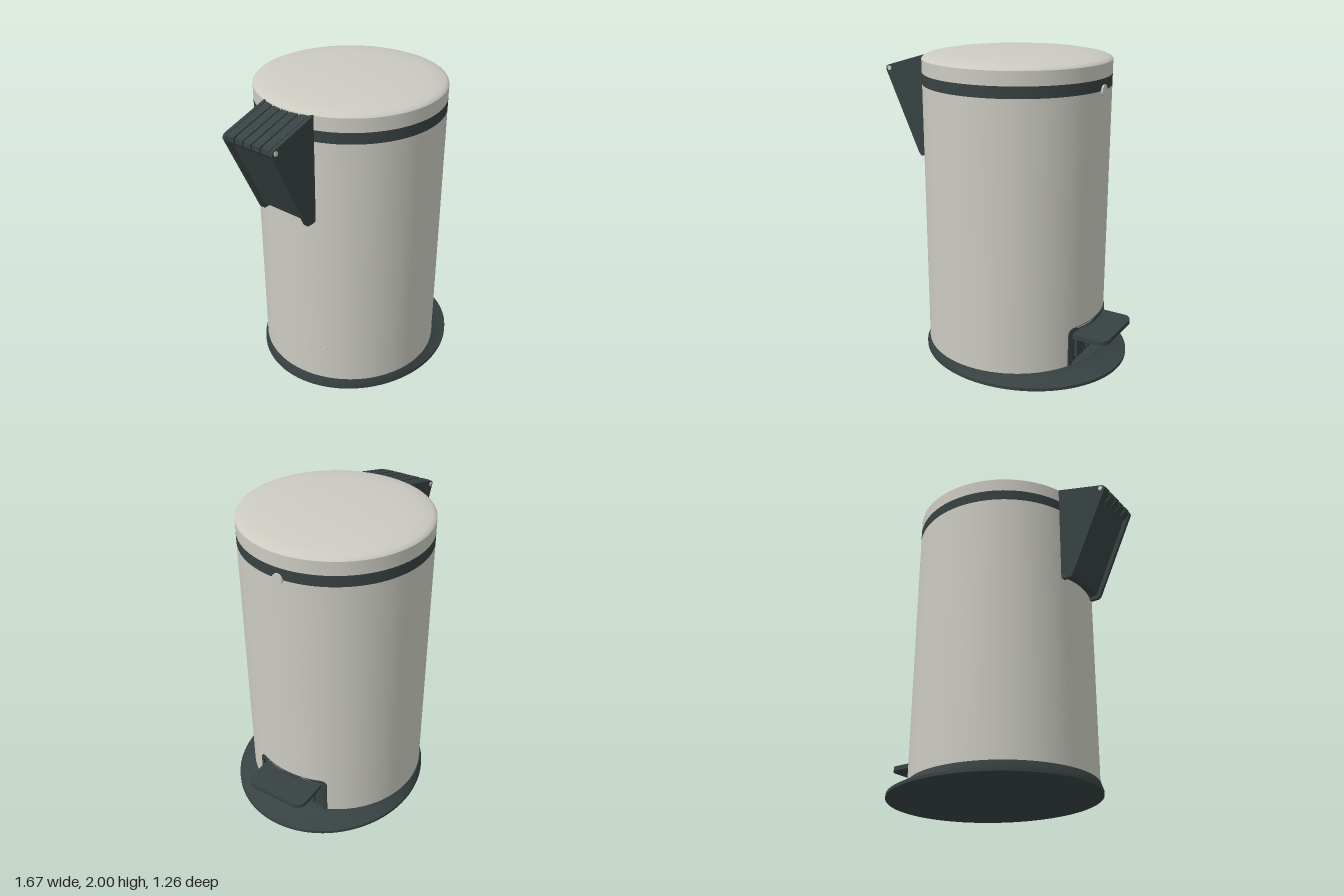
import * as THREE from 'three';
import { toCreasedNormals } from 'three/addons/utils/BufferGeometryUtils.js';

const CX = 0.065, R = 0.592; // axis and radius of the can
const steel = new THREE.MeshStandardMaterial({ color: 0xcbcbc2, side: THREE.DoubleSide });
const plastic = new THREE.MeshStandardMaterial({ color: 0x384242, side: THREE.DoubleSide });

export function createModel() {
  const model = new THREE.Group();
  const add = (name, geo, mat, x = 0, y = 0, z = 0) => {
    const mesh = new THREE.Mesh(geo, mat);
    mesh.name = name;
    mesh.position.set(x, y, z);
    model.add(mesh);
    return mesh;
  };
  const shapeOf = (pts) => new THREE.Shape(pts.map(([x, y]) => new THREE.Vector2(x, y)));
  const extrude = (shape, depth) =>
    new THREE.ExtrudeGeometry(shape, { depth, bevelEnabled: false, curveSegments: 8 });

  // Body: full tube above, tube with a gap for the pedal below
  const notchTop = 0.31, gap = Math.asin(0.245 / R);
  add('body', new THREE.CylinderGeometry(R, R, 1.79 - notchTop, 96, 1, true), steel, CX, (1.79 + notchTop) / 2);
  add('lowerBody', new THREE.CylinderGeometry(R, R, notchTop - 0.05, 80, 1, true,
    Math.PI / 2 + gap, Math.PI * 2 - 2 * gap), steel, CX, (notchTop + 0.05) / 2);

  // Dark band under the lid, and the round button on it
  add('band', new THREE.CylinderGeometry(R, R, 0.07, 96, 1, true), plastic, CX, 1.825);
  add('button', new THREE.CylinderGeometry(0.034, 0.034, 0.03, 24).rotateZ(Math.PI / 2), steel, 0.652, 1.79);

  // Domed lid
  const lidProfile = [[R, 1.86], [R, 1.945], [0.585, 1.954], [0.565, 1.963], [0.5, 1.975],
    [0.38, 1.988], [0.22, 1.996], [0, 2]].map(([r, y]) => new THREE.Vector2(r, y));
  add('lid', toCreasedNormals(new THREE.LatheGeometry(lidProfile, 96), 0.5), steel, CX);

  // Base: oval foot sloping up to the round body
  const rings = [ // y, centre x, radius x, radius z
    [0, 0.14, 0.692, 0.632], [0.02, 0.14, 0.692, 0.632],
    [0.05, 0.074, 0.612, 0.606], [0.066, CX, 0.598, 0.598]];
  const base = new THREE.CylinderGeometry(1, 1, 3, 96, 3);
  const bp = base.attributes.position;
  for (let i = 0; i < bp.count; i++) {
    const [y, cx, rx, rz] = rings[Math.round(bp.getY(i) + 1.5)];
    bp.setXYZ(i, cx + bp.getX(i) * rx, y, bp.getZ(i) * rz);
  }
  add('base', toCreasedNormals(base, 0.5), plastic);

  // Pedal recess: arch outline in z and y, with rounded top corners
  const arch = (w, top, r) => {
    const pts = [[w, 0.05]];
    for (let i = 0; i <= 6; i++) {
      const a = (i / 6) * Math.PI / 2;
      pts.push([w - r + r * Math.cos(a), top - r + r * Math.sin(a)]);
    }
    for (let i = 1; i < 16; i++) pts.push([(w - r) * (1 - i / 8), top]);
    for (let i = 6; i >= 0; i--) {
      const a = (i / 6) * Math.PI / 2;
      pts.push([-(w - r + r * Math.cos(a)), top - r + r * Math.sin(a)]);
    }
    pts.push([-w, 0.05]);
    return pts;
  };
  const outer = arch(0.26, 0.322, 0.04), inner = arch(0.235, 0.297, 0.025);
  add('recessPanel', extrude(shapeOf(outer), 0.012).rotateY(Math.PI / 2), plastic, 0.585);
  const frame = extrude(shapeOf([...outer, ...inner.reverse()]), 1).rotateY(Math.PI / 2);
  const fp = frame.attributes.position;
  for (let i = 0; i < fp.count; i++) { // front edge follows the round body
    const z = fp.getZ(i);
    fp.setX(i, fp.getX(i) > 0.5 ? CX + Math.sqrt((R + 0.006) ** 2 - z * z) : 0.585);
  }
  add('recessFrame', toCreasedNormals(frame, 0.5), plastic);
  for (const z of [-0.155, 0, 0.155])
    add('recessRib', new THREE.BoxGeometry(0.02, 0.22, 0.022), plastic, 0.605, 0.2, z);

  // Pedal plate
  const pedal = new THREE.Shape();
  pedal.moveTo(0.59, -0.215);
  pedal.lineTo(0.775, -0.215);
  pedal.quadraticCurveTo(0.805, -0.212, 0.818, -0.19);
  pedal.quadraticCurveTo(0.832, -0.175, 0.832, -0.15);
  pedal.lineTo(0.832, 0.15);
  pedal.quadraticCurveTo(0.832, 0.175, 0.818, 0.19);
  pedal.quadraticCurveTo(0.805, 0.212, 0.775, 0.215);
  pedal.lineTo(0.59, 0.215);
  add('pedal', extrude(pedal, 0.03).rotateX(-Math.PI / 2), plastic, 0, 0.24);

  // Hinge housing: two cheeks, a recessed core and ribs
  const cheek = shapeOf([[-0.49, 1.95], [-0.815, 1.855], [-0.83, 1.845], [-0.834, 1.825],
    [-0.582, 1.285], [-0.565, 1.27], [-0.51, 1.27], [-0.498, 1.28], [-0.498, 1.88], [-0.49, 1.88]]);
  const core = shapeOf([[-0.5, 1.938], [-0.8, 1.85], [-0.8, 1.82], [-0.56, 1.30], [-0.5, 1.29]]);
  const rib = shapeOf([[-0.51, 1.943], [-0.83, 1.851], [-0.83, 1.82], [-0.8, 1.79], [-0.51, 1.85]]);
  const hinge = (name, shape, width, z) => add(name, extrude(shape, width), plastic, 0, 0, z - width / 2);
  for (const s of [-1, 1]) {
    hinge('hingeCheek', cheek, 0.022, s * 0.174);
    add('hingePin', new THREE.CylinderGeometry(0.015, 0.015, 0.012, 16).rotateX(Math.PI / 2),
      steel, -0.805, 1.835, s * 0.183);
  }
  hinge('hingeCore', core, 0.33, 0);
  for (const z of [-0.132, -0.064, 0, 0.064, 0.132]) hinge('hingeRib', rib, 0.054, z);

  return model;
}
